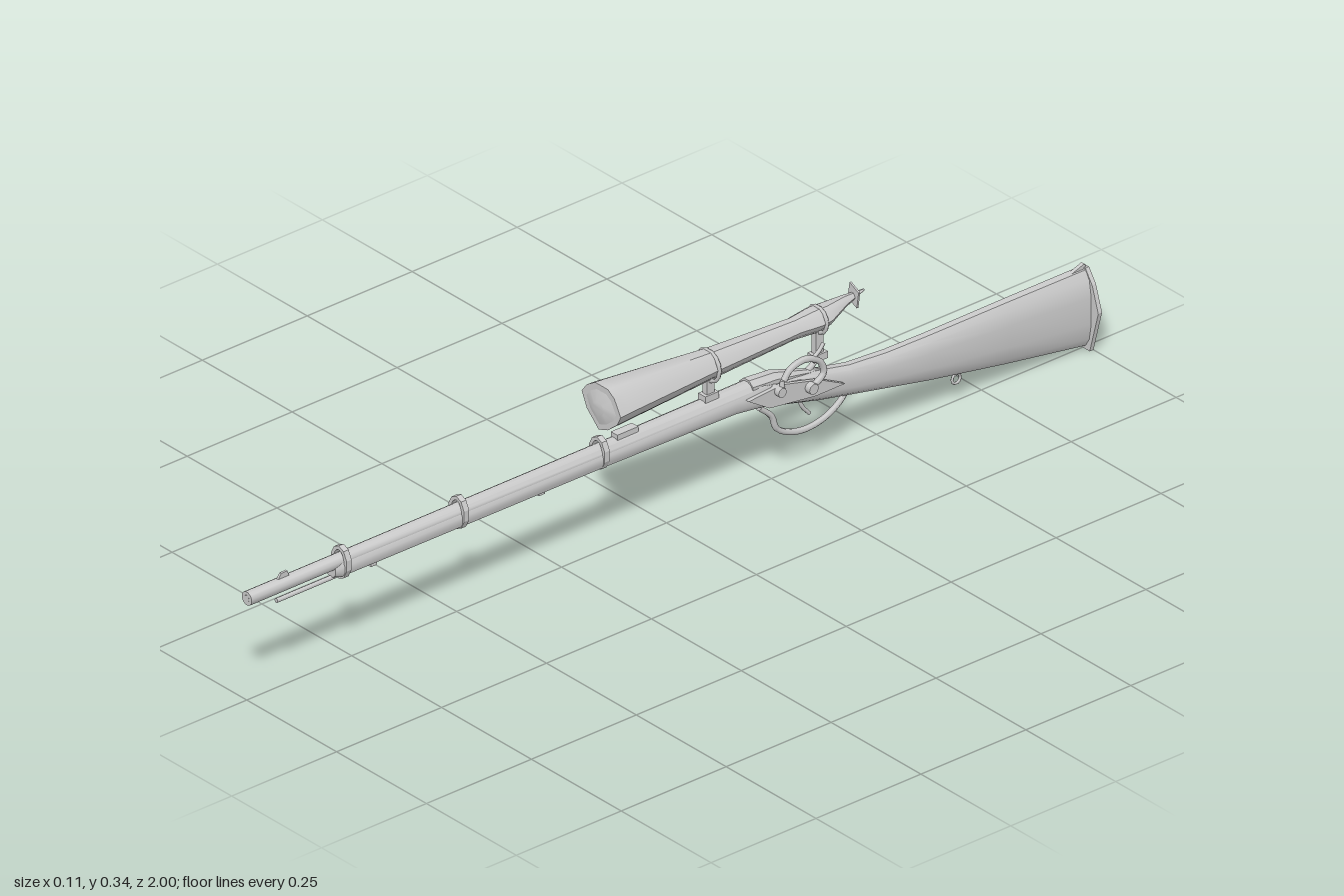
import * as THREE from 'three';
import { toCreasedNormals } from 'three/addons/utils/BufferGeometryUtils.js';

const grey = new THREE.MeshStandardMaterial({ color: 0xcccccc, side: THREE.DoubleSide });

function add(parent, name, geometry, x = 0, y = 0, z = 0) {
  const mesh = new THREE.Mesh(geometry, grey);
  mesh.name = name;
  mesh.position.set(x, y, z);
  parent.add(mesh);
  return mesh;
}

// Joins cross-sections [z, centreY, halfWidth, halfHeight, centreX] running from +z to -z.
// The outline is a unit loop of [x, y] points, counter-clockwise seen from +z.
function loft(sections, outline, crease = 0.6) {
  const n = outline.length, pos = [], idx = [];
  for (const [z, cy, rx, ry, cx = 0] of sections)
    for (const [u, v] of outline) pos.push(cx + u * rx, cy + v * ry, z);
  for (let s = 0; s < sections.length - 1; s++)
    for (let i = 0; i < n; i++) {
      const a = s * n + i, b = s * n + (i + 1) % n;
      idx.push(a, a + n, b, b, a + n, b + n);
    }
  const last = (sections.length - 1) * n;
  for (let i = 1; i < n - 1; i++) idx.push(0, i, i + 1, last, last + i + 1, last + i);
  const g = new THREE.BufferGeometry();
  g.setAttribute('position', new THREE.Float32BufferAttribute(pos, 3));
  g.setIndex(idx);
  return toCreasedNormals(g, crease);
}

// Rounded-square unit outline; power below 1 makes it boxier
function ring(n, power = 1) {
  const soft = (t) => Math.sign(t) * Math.abs(t) ** power;
  return Array.from({ length: n }, (_, i) => {
    const a = (i + 0.5) / n * Math.PI * 2;
    return [soft(Math.cos(a)), soft(Math.sin(a))];
  });
}

// Bent rod through [y, z] points at a fixed x
function rod(points, radius, x = 0, sides = 6) {
  const curve = new THREE.CatmullRomCurve3(points.map(([y, z]) => new THREE.Vector3(x, y, z)));
  return new THREE.TubeGeometry(curve, points.length * 4, radius, sides);
}

// Flat plate from [x, y] points, thickened along z
function plate(points, depth) {
  const shape = new THREE.Shape(points.map(([x, y]) => new THREE.Vector2(x, y)));
  return new THREE.ExtrudeGeometry(shape, { depth, bevelEnabled: false });
}

// Side profile from [z, y] points, thickened along x and centred on x = 0
function sidePlate(points, width) {
  const g = plate(points.map(([z, y]) => [-z, y]), width);
  return g.rotateY(Math.PI / 2).translate(-width / 2, 0, 0);
}

function buildBarrel(model) {
  const barrel = new THREE.Group();
  barrel.name = 'barrelAssembly';
  add(barrel, 'barrel', loft([
    [1, 0.211, 0.014, 0.014], [0.8, 0.211, 0.014, 0.014],
    [0.16, 0.207, 0.017, 0.017], [-0.22, 0.206, 0.02, 0.019],
  ], ring(12)));
  const bore = add(barrel, 'bore', new THREE.CylinderGeometry(0.007, 0.007, 0.004, 8), 0, 0.211, 0.9985);
  bore.rotation.x = Math.PI / 2;
  add(barrel, 'frontSight', sidePlate([[0.93, 0.22], [0.9, 0.22], [0.905, 0.235], [0.92, 0.235]], 0.005));
  const ramrod = add(barrel, 'ramrod', new THREE.CylinderGeometry(0.0045, 0.0045, 0.2, 8), 0, 0.181, 0.83);
  ramrod.rotation.x = Math.PI / 2;
  add(barrel, 'rearSight', new THREE.BoxGeometry(0.018, 0.012, 0.05), 0, 0.226, 0.1);

  // Barrel bands with a clamp screw below
  for (const z of [0.775, 0.495, 0.16]) {
    const outer = ring(10).map(([x, y]) => [x * 0.023, 0.206 + y * 0.034]);
    const shape = new THREE.Shape(outer.map(([x, y]) => new THREE.Vector2(x, y)));
    shape.holes.push(new THREE.Path().absellipse(0, 0.206, 0.015, 0.026, 0, Math.PI * 2, true));
    add(barrel, 'barrelBand', new THREE.ExtrudeGeometry(shape,
      { depth: 0.012, bevelEnabled: false, curveSegments: 8 }), 0, 0, z - 0.006);
  }
  for (const z of [0.7, 0.3]) add(barrel, 'slingStud', new THREE.BoxGeometry(0.007, 0.014, 0.014), 0, 0.177, z);
  model.add(barrel);
}

function buildStock(model) {
  // Fore-end, wrist and butt in one sweep
  add(model, 'stock', loft([
    [0.8, 0.198, 0.014, 0.015], [0.785, 0.197, 0.018, 0.018], [0.16, 0.196, 0.019, 0.02],
    [-0.15, 0.195, 0.022, 0.023], [-0.21, 0.192, 0.024, 0.028], [-0.29, 0.174, 0.024, 0.03],
    [-0.36, 0.157, 0.02, 0.032], [-0.43, 0.142, 0.019, 0.032], [-0.52, 0.129, 0.02, 0.038],
    [-0.62, 0.118, 0.021, 0.048], [-0.8, 0.102, 0.023, 0.065], [-0.992, 0.086, 0.025, 0.081],
  ], ring(12, 0.8)));
  add(model, 'buttPlate', plate([
    [-0.03, 0.001], [0.02, 0], [0.044, 0.088], [0.027, 0.14], [0.008, 0.168],
    [-0.006, 0.168], [-0.022, 0.145], [-0.024, 0.07],
  ], 0.009), 0, 0, -1);
  add(model, 'buttToe', sidePlate([[-0.96, 0.164], [-0.992, 0.175], [-1, 0.162]], 0.008));
  const swivel = add(model, 'slingSwivel', new THREE.TorusGeometry(0.01, 0.003, 5, 10), 0, 0.046, -0.69);
  swivel.rotation.y = Math.PI / 2;
}

function buildLock(model) {
  const lock = new THREE.Group();
  lock.name = 'lock';
  add(lock, 'breechTang', loft([
    [-0.19, 0.212, 0.02, 0.018], [-0.25, 0.207, 0.019, 0.018],
    [-0.32, 0.193, 0.011, 0.009], [-0.37, 0.182, 0.006, 0.005],
  ], ring(8)));
  add(lock, 'lockPlate', sidePlate([
    [-0.17, 0.202], [-0.25, 0.208], [-0.34, 0.185], [-0.4, 0.155], [-0.33, 0.155], [-0.22, 0.17],
  ], 0.008), 0.026);
  add(lock, 'sidePlate', sidePlate([[-0.19, 0.185], [-0.26, 0.19], [-0.33, 0.165], [-0.26, 0.165]], 0.006), -0.026);
  // Curved hammer with a thumb spur, pivot and nipple
  add(lock, 'hammer', rod([[0.178, -0.315], [0.2, -0.345], [0.228, -0.335], [0.244, -0.3],
    [0.236, -0.265], [0.218, -0.25]], 0.0065, 0.034));
  add(lock, 'hammerSpur', rod([[0.236, -0.315], [0.25, -0.335], [0.262, -0.345]], 0.004, 0.034));
  const pivot = add(lock, 'hammerPivot', new THREE.CylinderGeometry(0.011, 0.011, 0.018, 8), 0.034, 0.18, -0.315);
  pivot.rotation.z = Math.PI / 2;
  add(lock, 'nipple', new THREE.CylinderGeometry(0.004, 0.006, 0.024, 8), 0.033, 0.207, -0.247);
  const bolster = add(lock, 'bolster', new THREE.CylinderGeometry(0.008, 0.01, 0.03, 8), 0.028, 0.2, -0.24);
  bolster.rotation.z = Math.PI / 2;

  add(lock, 'triggerGuard', rod([[0.158, -0.22], [0.13, -0.25], [0.1, -0.262], [0.079, -0.3],
    [0.074, -0.34], [0.084, -0.385], [0.108, -0.42], [0.126, -0.43]], 0.006));
  add(lock, 'trigger', rod([[0.15, -0.315], [0.125, -0.322], [0.103, -0.34]], 0.004));
  model.add(lock);
}

function buildScope(model) {
  const scope = new THREE.Group();
  scope.name = 'scope';
  // Faceted outline, widest at the objective
  const facets = [[1.05, 0.08], [0.7, 0.75], [0.35, 1], [-0.35, 1], [-0.8, 0.7],
    [-1.08, 0.3], [-0.8, -0.35], [-0.15, -1], [0.35, -0.8], [0.85, -0.35]];
  add(scope, 'scopeTube', loft([
    [0.155, 0.295, 0.051, 0.047], [0.13, 0.295, 0.049, 0.046], [-0.1, 0.291, 0.029, 0.031],
    [-0.3, 0.291, 0.02, 0.022], [-0.35, 0.291, 0.026, 0.026], [-0.375, 0.292, 0.024, 0.024],
    [-0.42, 0.303, 0.011, 0.014], [-0.47, 0.312, 0.002, 0.002],
  ], facets));
  add(scope, 'objectiveLens', loft([
    [0.162, 0.295, 0.015, 0.014], [0.153, 0.295, 0.045, 0.041],
  ], facets));
  add(scope, 'eyepieceFin', plate([[-0.014, 0.3], [0.012, 0.288], [0.017, 0.322], [-0.008, 0.334]], 0.004), 0, 0, -0.447);

  // Two mounts: collar, post and foot
  for (const [z, y, r, foot] of [[-0.1, 0.291, 0.031, 0.228], [-0.36, 0.291, 0.026, 0.216]]) {
    add(scope, 'mountCollar', new THREE.TorusGeometry(r, 0.004, 6, 14), 0, y, z);
    const top = y - r;
    add(scope, 'mountPost', new THREE.BoxGeometry(0.012, top - foot + 0.008, 0.018), 0, (top + foot) / 2, z);
    add(scope, 'mountFoot', new THREE.BoxGeometry(0.02, 0.014, 0.032), 0, foot, z);
  }
  // Curved brace from the tang to the rear mount
  add(scope, 'rearBrace', rod([[0.19, -0.33], [0.205, -0.352], [0.23, -0.362], [0.262, -0.36]], 0.006));
  model.add(scope);
}

export function createModel() {
  const model = new THREE.Group();
  model.name = 'scopedRifle';
  buildBarrel(model);
  buildStock(model);
  buildLock(model);
  buildScope(model);
  return model;
}
